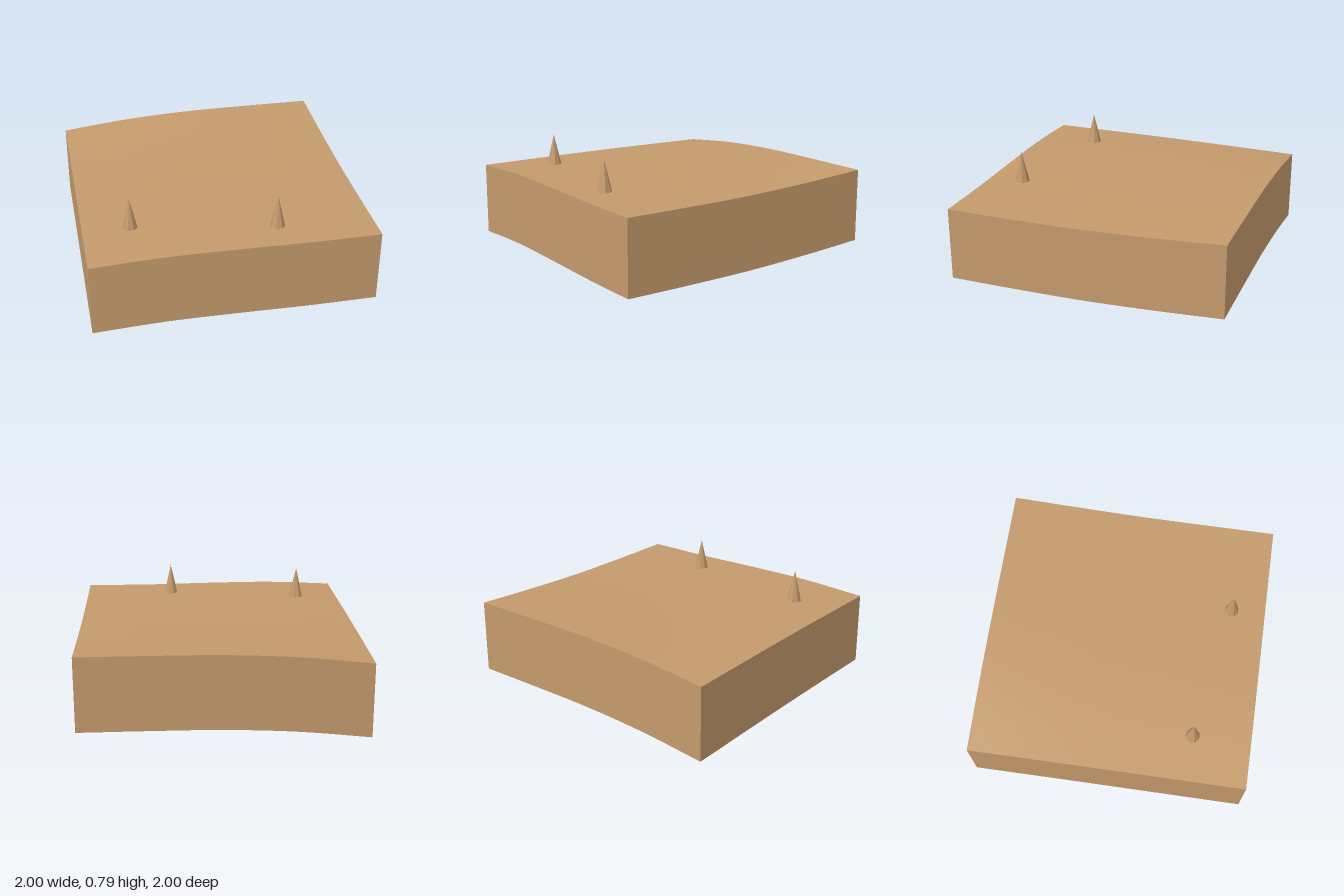
import * as THREE from 'three';

const DEPTH = 0.53; // constant height of the walls below the surface
const STEPS = 24;

// Surface heights: rows run back to front, columns run from -x to +x
const HEIGHTS = [
  [0.534, 0.587, 0.613, 0.617, 0.616],
  [0.542, 0.574, 0.588, 0.593, 0.588],
  [0.548, 0.568, 0.572, 0.572, 0.569],
  [0.550, 0.570, 0.570, 0.565, 0.565],
  [0.550, 0.573, 0.572, 0.565, 0.567],
];

// Smooth curve through five evenly spaced values, for t from -1 to 1
function smooth(values, t) {
  const u = (t + 1) * 2;
  const i = Math.min(3, Math.floor(u));
  const f = u - i;
  const at = (k) => k < 0 ? 2 * values[0] - values[1] : k > 4 ? 2 * values[4] - values[3] : values[k];
  const [a, b, c, d] = [at(i - 1), at(i), at(i + 1), at(i + 2)];
  return b + 0.5 * f * (c - a + f * (2 * a - 5 * b + 4 * c - d + f * (3 * (b - c) + d - a)));
}

const height = (x, z) => smooth(HEIGHTS.map((row) => smooth(row, x)), z);

// Rolling top surface
function groundGeometry() {
  const g = new THREE.PlaneGeometry(2, 2, STEPS, STEPS).rotateX(-Math.PI / 2);
  const p = g.attributes.position;
  for (let i = 0; i < p.count; i++) p.setY(i, height(p.getX(i), p.getZ(i)));
  g.computeVertexNormals();
  return g;
}

// Wall on one side, its top and bottom edges following the surface
function wallGeometry(angle) {
  const g = new THREE.PlaneGeometry(2, 1, STEPS, 1).translate(0, 0, 1).rotateY(angle);
  const p = g.attributes.position;
  for (let i = 0; i < p.count; i++) {
    const drop = p.getY(i) > 0 ? 0 : DEPTH;
    p.setY(i, height(p.getX(i), p.getZ(i)) - drop);
  }
  g.computeVertexNormals();
  return g;
}

export function createModel() {
  const group = new THREE.Group();
  const earth = new THREE.MeshStandardMaterial({ color: 0xc49a6c, side: THREE.DoubleSide });
  earth.name = 'tan earth';
  const spikeTan = earth.clone();
  spikeTan.flatShading = true;
  spikeTan.name = 'tan spike';

  const add = (name, geometry, material) => {
    const mesh = new THREE.Mesh(geometry, material);
    mesh.name = name;
    group.add(mesh);
    return mesh;
  };

  add('ground', groundGeometry(), earth);
  ['frontWall', 'leftWall', 'backWall', 'rightWall'].forEach((name, i) =>
    add(name, wallGeometry(i * Math.PI / 2), earth));

  // Eight-sided spikes standing on the ground
  const spike = new THREE.ConeGeometry(0.054, 0.23, 8).rotateY(Math.PI / 8).translate(0, 0.115, 0);
  [['rightSpike', -0.67, 0.58], ['leftSpike', 0.33, 0.75]].forEach(([name, x, z]) =>
    add(name, spike, spikeTan).position.set(x, height(x, z) - 0.002, z));

  return group;
}
